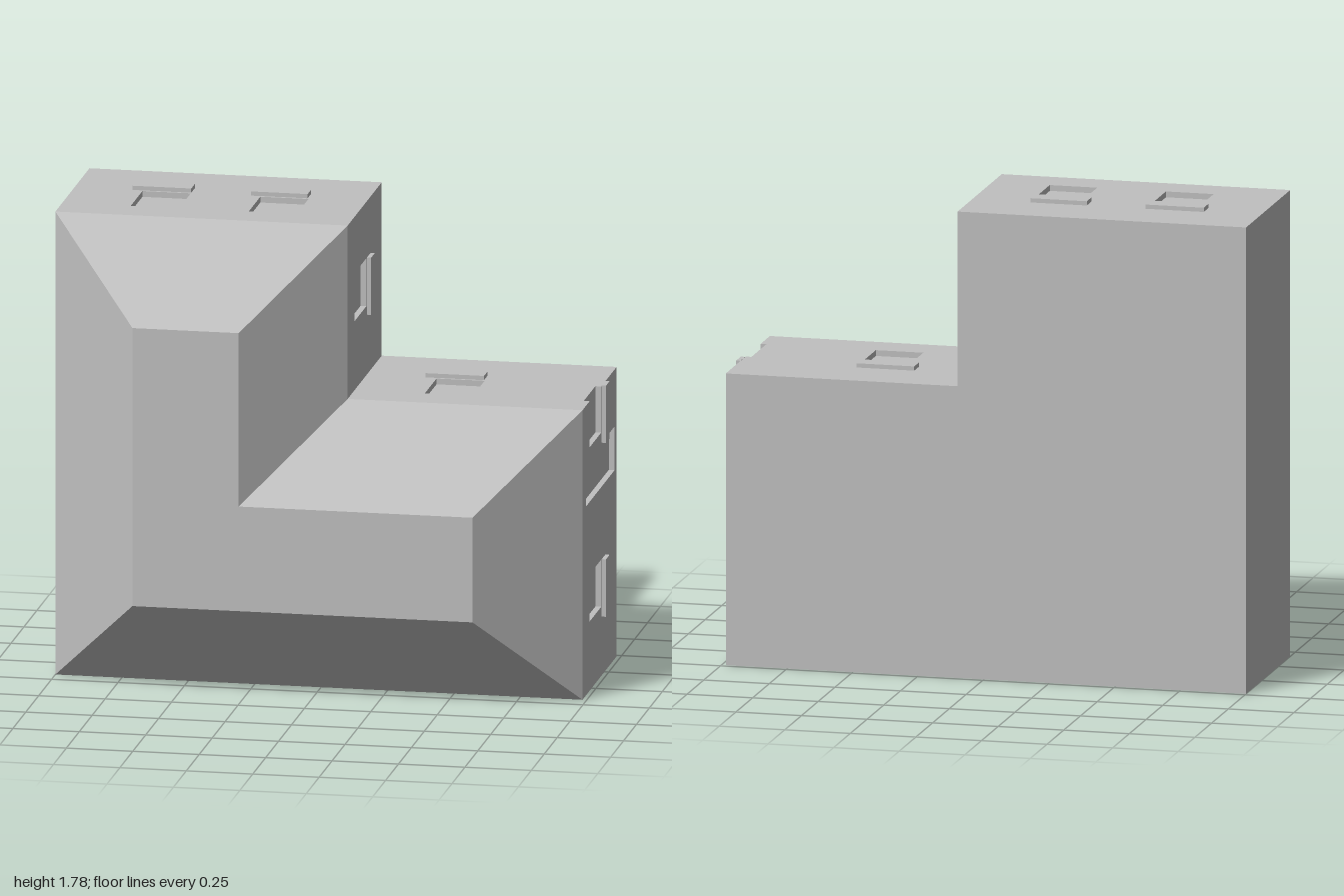
import * as THREE from 'three';

const BACK = -0.484, EAVE = 0.176, RIDGE = 0.485;
const DEPTH = 0.022, LEDGE = 0.016;

// L-shaped outline, counter-clockwise, and the smaller outline of the flat ridge
const outer = [[-1, 0], [0.984, 0], [0.984, 1.104], [0.1, 1.104], [0.1, 1.765], [-1, 1.765]];
const inner = [[-0.65, 0.355], [0.63, 0.355], [0.63, 0.754], [-0.25, 0.754], [-0.25, 1.415], [-0.65, 1.415]];

// Openings per wall as [u0, u1, v0, v1, depth]; u runs along the wall, v along z
const win = (u0, u1) => [u0, u1, -0.186, 0.039, DEPTH];
const openings = {
  1: [win(0.264, 0.444), win(0.928, 1.104), [0.72, 0.887, -0.446, 0.109, DEPTH]],
  2: [win(0.439, 0.62), [0, DEPTH, -0.186, 0.039, 0]],
  3: [win(0.263, 0.446)],
  4: [win(0.218, 0.399), win(0.661, 0.843)],
};
// Raised ledges per wall as [u0, u1]
const ledges = {
  1: [[0.224, 0.443], [0.887, 1.105]],
  2: [[0.443, 0.663]],
  3: [[0.228, 0.446]],
  4: [[0.223, 0.437], [0.661, 0.883]],
};

function quadGeometry(quads) {
  const pos = [];
  for (const [a, b, c, d] of quads) pos.push(...a, ...b, ...c, ...a, ...c, ...d);
  const g = new THREE.BufferGeometry();
  g.setAttribute('position', new THREE.Float32BufferAttribute(pos, 3));
  g.computeVertexNormals();
  return g;
}

// Wall split into cells around its openings, in local u, v, outward
function wallGeometry(length, holes) {
  const sorted = (list) => [...new Set(list)].sort((a, b) => a - b);
  const us = sorted([0, length, ...holes.flatMap((h) => [h[0], h[1]])]);
  const vs = sorted([BACK, EAVE, ...holes.flatMap((h) => [h[2], h[3]])]);
  const quads = [];
  for (let i = 0; i < us.length - 1; i++) {
    for (let j = 0; j < vs.length - 1; j++) {
      const [a, b, c, d] = [us[i], us[i + 1], vs[j], vs[j + 1]];
      const mu = (a + b) / 2, mv = (c + d) / 2;
      if (holes.some((h) => mu > h[0] && mu < h[1] && mv > h[2] && mv < h[3])) continue;
      quads.push([[a, c, 0], [b, c, 0], [b, d, 0], [a, d, 0]]);
    }
  }
  return quadGeometry(quads);
}

// Recess floor and inward-facing reveals, left open where it meets the wall's end
function recessGeometry([a, b, c, d, t], length) {
  const quads = [
    [[a, c, -t], [b, c, -t], [b, d, -t], [a, d, -t]],
    [[a, c, 0], [b, c, 0], [b, c, -t], [a, c, -t]],
    [[b, d, 0], [a, d, 0], [a, d, -t], [b, d, -t]],
    [[a, d, 0], [a, c, 0], [a, c, -t], [a, d, -t]],
  ];
  if (b < length - 0.001) quads.push([[b, c, 0], [b, d, 0], [b, d, -t], [b, c, -t]]);
  return quadGeometry(quads);
}

export function createModel() {
  const model = new THREE.Group();
  model.name = 'building';
  const stone = new THREE.MeshStandardMaterial({ color: 0xc0c0c0 });
  stone.name = 'light grey';
  const add = (parent, name, geometry) => {
    const mesh = new THREE.Mesh(geometry, stone);
    mesh.name = name;
    parent.add(mesh);
    return mesh;
  };

  outer.forEach((p, i) => {
    const k = (i + 1) % outer.length, q = outer[k];
    const length = Math.hypot(q[0] - p[0], q[1] - p[1]);
    const along = new THREE.Vector3(q[0] - p[0], q[1] - p[1], 0).normalize();
    const up = new THREE.Vector3(0, 0, 1);
    const out = along.clone().cross(up);

    // Wall side with its windows and ledges
    const side = new THREE.Group();
    side.name = `side${i + 1}`;
    side.quaternion.setFromRotationMatrix(new THREE.Matrix4().makeBasis(along, up, out));
    side.position.set(p[0], p[1], 0);
    model.add(side);
    const holes = openings[i] || [];
    add(side, 'wall', wallGeometry(length, holes));
    for (const h of holes) if (h[4] > 0) add(side, 'windowRecess', recessGeometry(h, length));
    for (const [a, b] of ledges[i] || []) {
      const ledge = add(side, 'windowLedge', new THREE.BoxGeometry(b - a, 0.07, LEDGE));
      ledge.position.set((a + b) / 2, -0.231, LEDGE / 2);
    }

    // Roof slope from eave to ridge
    add(model, 'roofSlope', quadGeometry([
      [[...p, EAVE], [...q, EAVE], [...inner[k], RIDGE], [...inner[i], RIDGE]],
    ]));
  });

  // Flat roof top and the base behind
  const shape = (pts) => new THREE.Shape(pts.map((p) => new THREE.Vector2(...p)));
  add(model, 'roofTop', new THREE.ShapeGeometry(shape(inner)).translate(0, 0, RIDGE));
  const base = new THREE.ShapeGeometry(shape(outer)).translate(0, 0, BACK);
  base.index.array.reverse();
  base.computeVertexNormals();
  add(model, 'base', base);
  return model;
}
